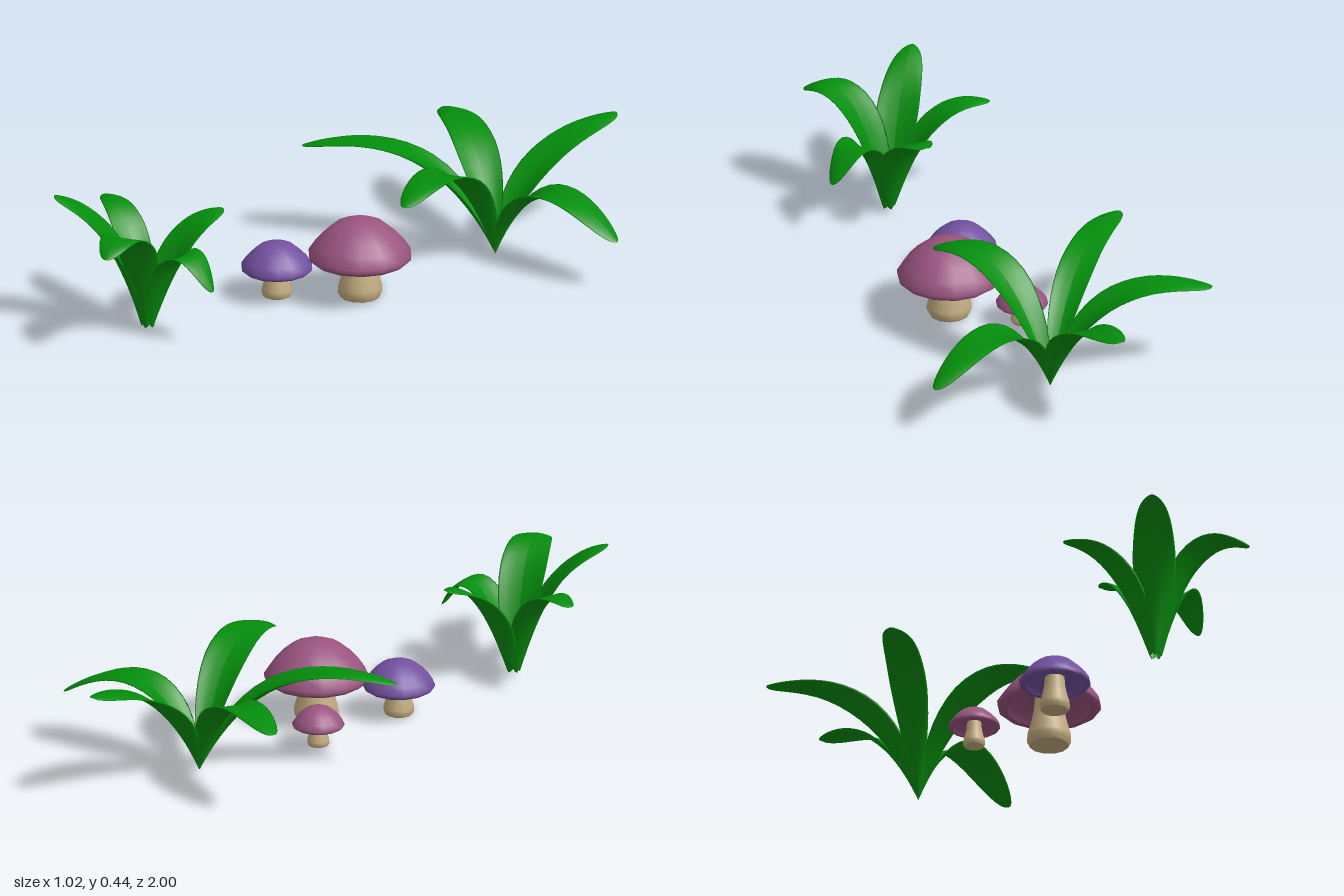
import * as THREE from 'three';
import { toCreasedNormals } from 'three/addons/utils/BufferGeometryUtils.js';

const mat = (color) => new THREE.MeshStandardMaterial({ color });
const green = mat(0x048e0c);
const tan = mat(0xc4ad80);
const pink = mat(0x9a5480);
const purple = mat(0x7350a0);

function mesh(name, geometry, material) {
  const m = new THREE.Mesh(geometry, material);
  m.name = name;
  return m;
}

function lathe(points, sides) {
  const g = new THREE.LatheGeometry(points.map(([r, y]) => new THREE.Vector2(r, y)), sides);
  return toCreasedNormals(g, 0.9);
}

// Mushroom: flared stem and domed cap with a hollow underside
function mushroom(name, x, z, scale, capMaterial) {
  const stem = lathe([[0, 0], [0.062, 0], [0.071, 0.018], [0.07, 0.035], [0.058, 0.075], [0.05, 0.115], [0.045, 0.17], [0, 0.17]], 12);
  const cap = lathe([[0, 0.168], [0.06, 0.162], [0.12, 0.145], [0.132, 0.123], [0.15, 0.122], [0.163, 0.132],
    [0.164, 0.146], [0.142, 0.179], [0.114, 0.21], [0.08, 0.239], [0.04, 0.256], [0, 0.261]], 14);
  const group = new THREE.Group();
  group.name = name;
  group.add(mesh('stem', stem, tan), mesh('cap', cap, capMaterial));
  group.position.set(x, 0.012, z);
  group.scale.setScalar(scale);
  return group;
}

// Leaf: a thin lens section swept along an arc, channelled at the base and drooping at the tip
function leaf(base, { offset, fullness, bluntness }, [tx, ty, tz, arch, reach, width]) {
  const tip = new THREE.Vector3(tx, ty, tz);
  const dir = tip.clone().sub(base).setY(0).normalize();
  const start = base.clone().addScaledVector(dir, offset);
  const ctrl = start.clone().lerp(tip, reach).setY(arch);
  const curve = new THREE.QuadraticBezierCurve3(start, ctrl, tip);
  const side = dir.clone().cross(new THREE.Vector3(0, 1, 0));
  const g = new THREE.CylinderGeometry(1, 1, 1, 16, 24, true);
  const pos = g.attributes.position;
  for (let i = 0; i < pos.count; i++) {
    const u = pos.getX(i);
    const t = 0.5 + 0.5 * Math.sin(Math.PI * pos.getY(i)); // rows gather at both ends
    const rise = Math.pow(Math.sin(Math.PI / 2 * Math.min(1, t / 0.52)), fullness);
    const taper = Math.sqrt(Math.max(0, 1 - Math.pow(t, bluntness)));
    const half = width / 2 * rise * taper;
    const normal = side.clone().cross(curve.getTangent(t));
    const lift = (0.7 - 0.95 * t) * half * u * u + 0.006 * rise * taper * pos.getZ(i);
    const p = curve.getPoint(t).addScaledVector(side, u * half).addScaledVector(normal, lift);
    pos.setXYZ(i, p.x, Math.max(p.y, 0), p.z);
  }
  g.computeVertexNormals();
  return mesh('leaf', g, green);
}

function plant(name, base, style, leaves) {
  const group = new THREE.Group();
  group.name = name;
  for (const spec of leaves) group.add(leaf(base, style, spec));
  return group;
}

export function createModel() {
  const model = new THREE.Group();
  model.name = 'mushroomsAndPlants';

  model.add(
    mushroom('largeMushroom', 0.03, 0.03, 1, pink),
    mushroom('mediumMushroom', -0.143, 0.225, 0.69, purple),
    mushroom('smallMushroom', -0.13, -0.142, 0.5, pink),
  );

  // Each leaf: tip x, y, z, arch height, arch position, width
  const broad = { offset: 0, fullness: 0.8, bluntness: 4.5 };
  model.add(plant('backPlant', new THREE.Vector3(0.02, 0.005, -0.535), broad, [
    [0.06, 0.375, -1.0, 0.36, 0.33, 0.145],
    [0.51, 0.17, -0.62, 0.42, 0.33, 0.145],
    [0.14, 0.32, -0.055, 0.5, 0.4, 0.15],
    [-0.48, 0.315, -0.165, 0.45, 0.33, 0.12],
    [-0.46, 0.305, -0.73, 0.42, 0.33, 0.14],
  ]));
  const pointed = { offset: 0.02, fullness: 0.55, bluntness: 2.8 };
  model.add(plant('frontPlant', new THREE.Vector3(-0.19, 0.02, 0.715), pointed, [
    [-0.15, 0.36, 0.44, 0.36, 0.38, 0.145],
    [0.06, 0.195, 0.66, 0.45, 0.43, 0.14],
    [-0.06, 0.355, 1.0, 0.5, 0.33, 0.16],
    [-0.41, 0.445, 0.915, 0.4, 0.35, 0.145],
    [-0.51, 0.345, 0.625, 0.41, 0.35, 0.12],
  ]));
  return model;
}
